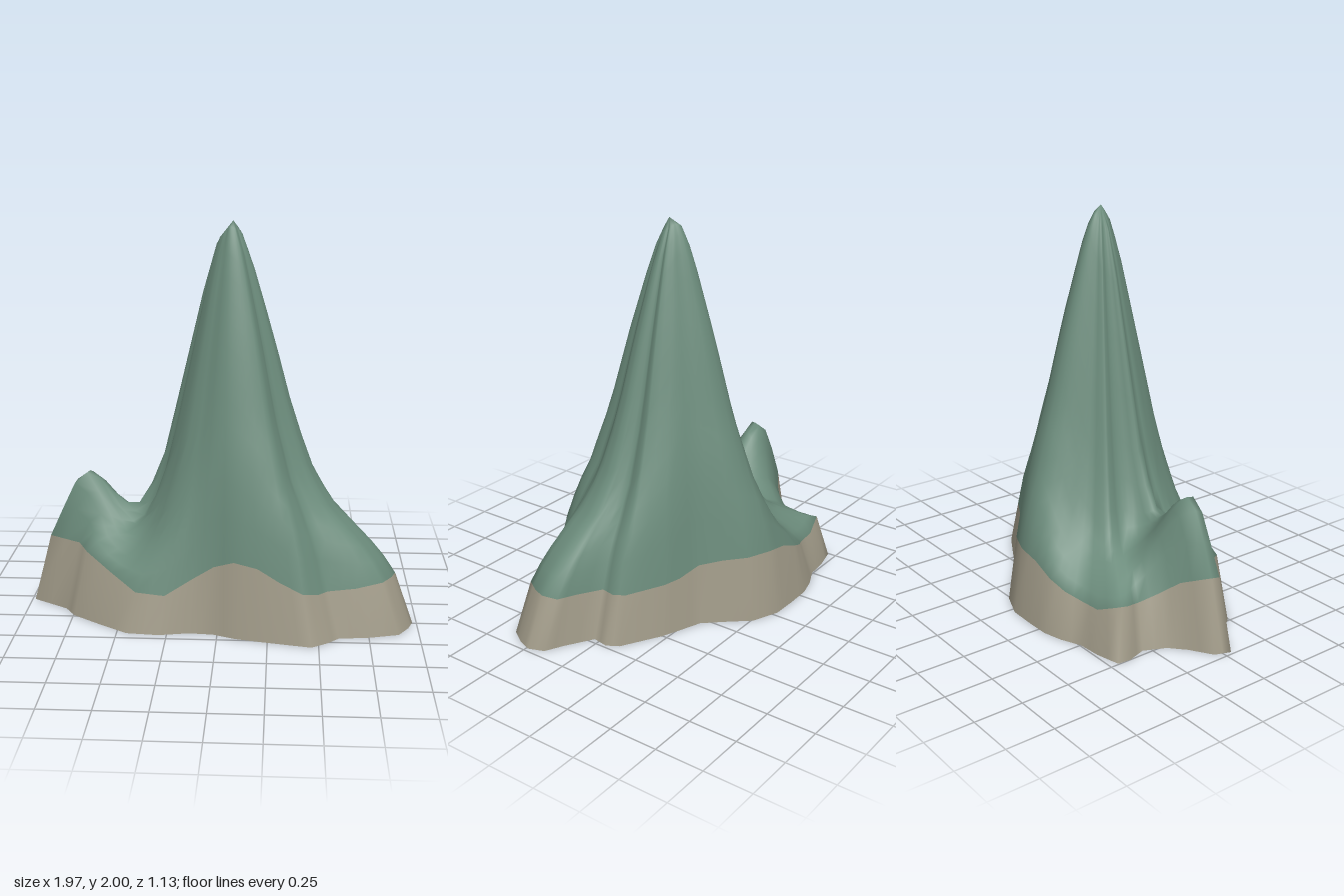
import * as THREE from 'three';

// foot outline, counter-clockwise from above: x, z, height of the rock band
const OUTLINE = [
  [-0.985, 0.04, 0.36], [-0.8, 0.155, 0.36], [-0.745, 0.24, 0.34], [-0.6, 0.345, 0.27], [-0.45, 0.445, 0.2],
  [-0.29, 0.46, 0.19], [-0.14, 0.43, 0.27], [-0.02, 0.44, 0.34], [0.09, 0.485, 0.38], [0.22, 0.515, 0.36],
  [0.34, 0.54, 0.3], [0.465, 0.565, 0.25], [0.545, 0.51, 0.23], [0.6, 0.455, 0.23], [0.755, 0.435, 0.24],
  [0.9, 0.395, 0.26], [0.955, 0.31, 0.26], [0.98, 0.24, 0.26], [0.95, 0.16, 0.25], [0.86, 0.115, 0.25],
  [0.72, 0.03, 0.25], [0.735, -0.05, 0.25], [0.7, -0.11, 0.25], [0.5, -0.225, 0.26], [0.41, -0.26, 0.27],
  [0.29, -0.305, 0.31], [0.2, -0.405, 0.33], [0.11, -0.51, 0.34], [-0.03, -0.567, 0.34], [-0.17, -0.57, 0.32],
  [-0.3, -0.567, 0.27], [-0.4, -0.54, 0.23], [-0.5, -0.495, 0.2], [-0.62, -0.485, 0.2], [-0.745, -0.455, 0.25],
  [-0.75, -0.385, 0.24], [-0.72, -0.29, 0.22], [-0.77, -0.18, 0.26], [-0.845, -0.11, 0.32], [-0.955, -0.04, 0.36],
];
const INSET = 0.905;
const APEX = [0.045, 0.035];
const RINGS = 14;

// slope profiles: height against distance from the summit
const RADII = [0, 0.05, 0.1, 0.2, 0.3, 0.4, 0.5, 0.6, 0.7, 0.95];
const EAST = [2, 1.95, 1.81, 1.45, 1.05, 0.76, 0.6, 0.51, 0.44, 0.34];
const WEST = [2, 1.92, 1.74, 1.27, 0.8, 0.5, 0.37, 0.31, 0.27, 0.2];

function sample(profile, r) {
  let i = 0;
  while (i < RADII.length - 2 && r > RADII[i + 1]) i++;
  const f = Math.min((r - RADII[i]) / (RADII[i + 1] - RADII[i]), 1);
  return THREE.MathUtils.lerp(profile[i], profile[i + 1], f);
}

export function createModel() {
  const group = new THREE.Group();
  const green = new THREE.MeshStandardMaterial({ color: 0x6b8b7b, side: THREE.DoubleSide });
  green.name = 'mossGreen';
  const rock = new THREE.MeshStandardMaterial({ color: 0xa09a88, side: THREE.DoubleSide });
  rock.name = 'paleRock';

  // halve every outline edge for a smoother surface
  const foot = OUTLINE.flatMap((p, i) => {
    const q = OUTLINE[(i + 1) % OUTLINE.length];
    return [p, p.map((v, k) => (v + q[k]) / 2)];
  });
  const n = foot.length;
  const reach = foot.map(([x, z]) => Math.hypot(x * INSET - APEX[0], z * INSET - APEX[1]));

  // headlands in the outline run up the slope as ribs, inlets as gullies
  const rib = reach.map((r, i) => {
    let mean = 0;
    for (let k = -8; k <= 8; k++) mean += reach[(i + k + n) % n] / 17;
    return 1 + 0.6 * (r / mean - 1);
  });

  // rings from the foot, over the band edge, up to the summit
  const positions = [];
  for (const [x, z] of foot) positions.push(x, 0, z);
  for (let j = 0; j < RINGS; j++) {
    const t = 1 - j / RINGS;
    foot.forEach(([fx, fz, edge], i) => {
      const x = THREE.MathUtils.lerp(APEX[0], fx * INSET, t);
      const z = THREE.MathUtils.lerp(APEX[1], fz * INSET, t);
      const r = reach[i] * t;
      const dx = (fx * INSET - APEX[0]) / reach[i];
      const dz = (fz * INSET - APEX[1]) / reach[i];
      const west = THREE.MathUtils.smoothstep(-dx, 0.1, 0.75);
      const wide = rib[i] * (1 + 0.06 * Math.abs(dz));
      let y = THREE.MathUtils.lerp(sample(EAST, r / wide), sample(WEST, r / wide), west);
      // lesser peak on the western shoulder
      y += 0.48 * Math.exp(-((x + 0.73) ** 2 / 0.05 + z ** 2 / 0.045));
      y = THREE.MathUtils.lerp(y, edge, t ** 10);
      positions.push(x, y, z);
    });
  }
  const top = positions.length / 3;
  positions.push(APEX[0] + 0.015, 2, APEX[1] + 0.015);

  const index = [];
  for (let j = 0; j < RINGS; j++) {
    for (let i = 0; i < n; i++) {
      const a = j * n + i, b = j * n + (i + 1) % n;
      index.push(a, b, b + n, a, b + n, a + n);
    }
  }
  for (let i = 0; i < n; i++) index.push(RINGS * n + i, RINGS * n + (i + 1) % n, top);

  const geometry = new THREE.BufferGeometry();
  geometry.setAttribute('position', new THREE.Float32BufferAttribute(positions, 3));
  geometry.setIndex(index);
  geometry.addGroup(0, n * 6, 0);
  geometry.addGroup(n * 6, index.length - n * 6, 1);
  geometry.computeVertexNormals();

  const mountain = new THREE.Mesh(geometry, [rock, green]);
  mountain.name = 'mountain';
  group.add(mountain);
  return group;
}
